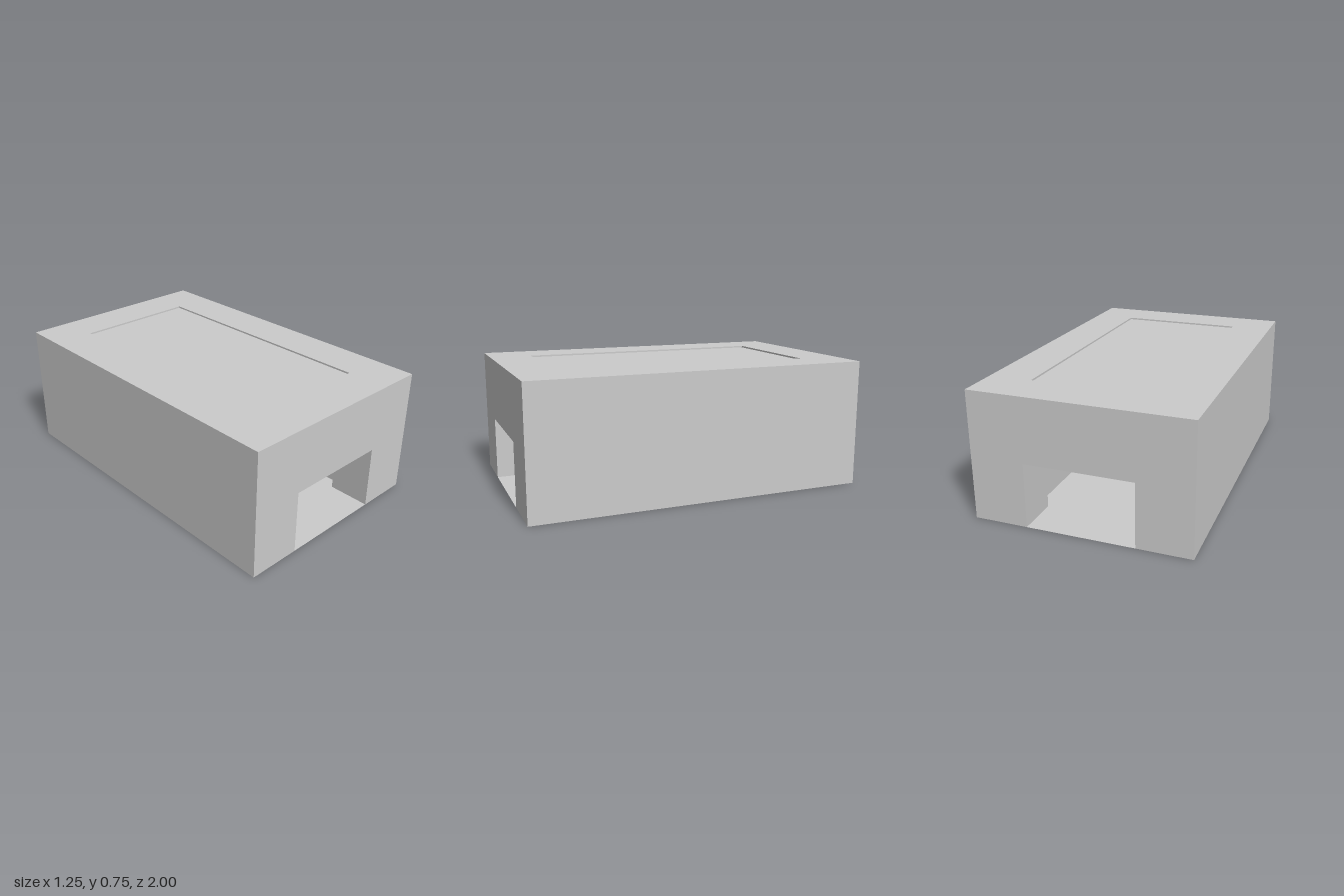
import * as THREE from 'three';

const W = 0.625, L = 1, H = 0.75;        // half width, half length, height
const CAV_X = 0.375, CAV_Z = 0.75;       // half size of the inner room
const DOOR_X = 0.3125, DOOR_H = 0.375;   // half width and height of the doorways
const ROOF_Y = 0.74;                     // sunken roof panel

const shapeOf = (pts) => new THREE.Shape(pts.map(([x, y]) => new THREE.Vector2(x, y)));

export function createModel() {
  const model = new THREE.Group();
  const solid = new THREE.MeshStandardMaterial({ color: 0xcccccc, flatShading: true });
  const sheet = new THREE.MeshStandardMaterial({ color: 0xcccccc, flatShading: true, side: THREE.DoubleSide });

  const add = (name, geometry, material, x, y, z) => {
    const mesh = new THREE.Mesh(geometry, material);
    mesh.name = name;
    mesh.position.set(x, y, z);
    model.add(mesh);
  };

  // Thick side walls between the end walls
  for (const s of [1, -1]) {
    add(s > 0 ? 'leftWall' : 'rightWall',
      new THREE.BoxGeometry(W - CAV_X, H, 2 * CAV_Z), solid, s * (W + CAV_X) / 2, H / 2, 0);
  }

  // End walls, each with a doorway open at the bottom
  const endShape = shapeOf([
    [-W, 0], [-DOOR_X, 0], [-DOOR_X, DOOR_H], [DOOR_X, DOOR_H],
    [DOOR_X, 0], [W, 0], [W, H], [-W, H],
  ]);
  const endWall = new THREE.ExtrudeGeometry(endShape, { depth: L - CAV_Z, bevelEnabled: false });
  add('frontWall', endWall, solid, 0, 0, CAV_Z);
  add('backWall', endWall, solid, 0, 0, -L);

  // Thin floor filling the room and both doorways
  const floor = new THREE.ShapeGeometry(shapeOf([
    [-DOOR_X, -L], [DOOR_X, -L], [DOOR_X, -CAV_Z], [CAV_X, -CAV_Z],
    [CAV_X, CAV_Z], [DOOR_X, CAV_Z], [DOOR_X, L], [-DOOR_X, L],
    [-DOOR_X, CAV_Z], [-CAV_X, CAV_Z], [-CAV_X, -CAV_Z], [-DOOR_X, -CAV_Z],
  ])).rotateX(-Math.PI / 2);
  add('floor', floor, sheet, 0, 0, 0);

  // Thin roof panel set slightly below the wall tops
  const roof = new THREE.PlaneGeometry(2 * CAV_X, 2 * CAV_Z).rotateX(-Math.PI / 2);
  add('roofPanel', roof, sheet, 0, ROOF_Y, 0);

  return model;
}
